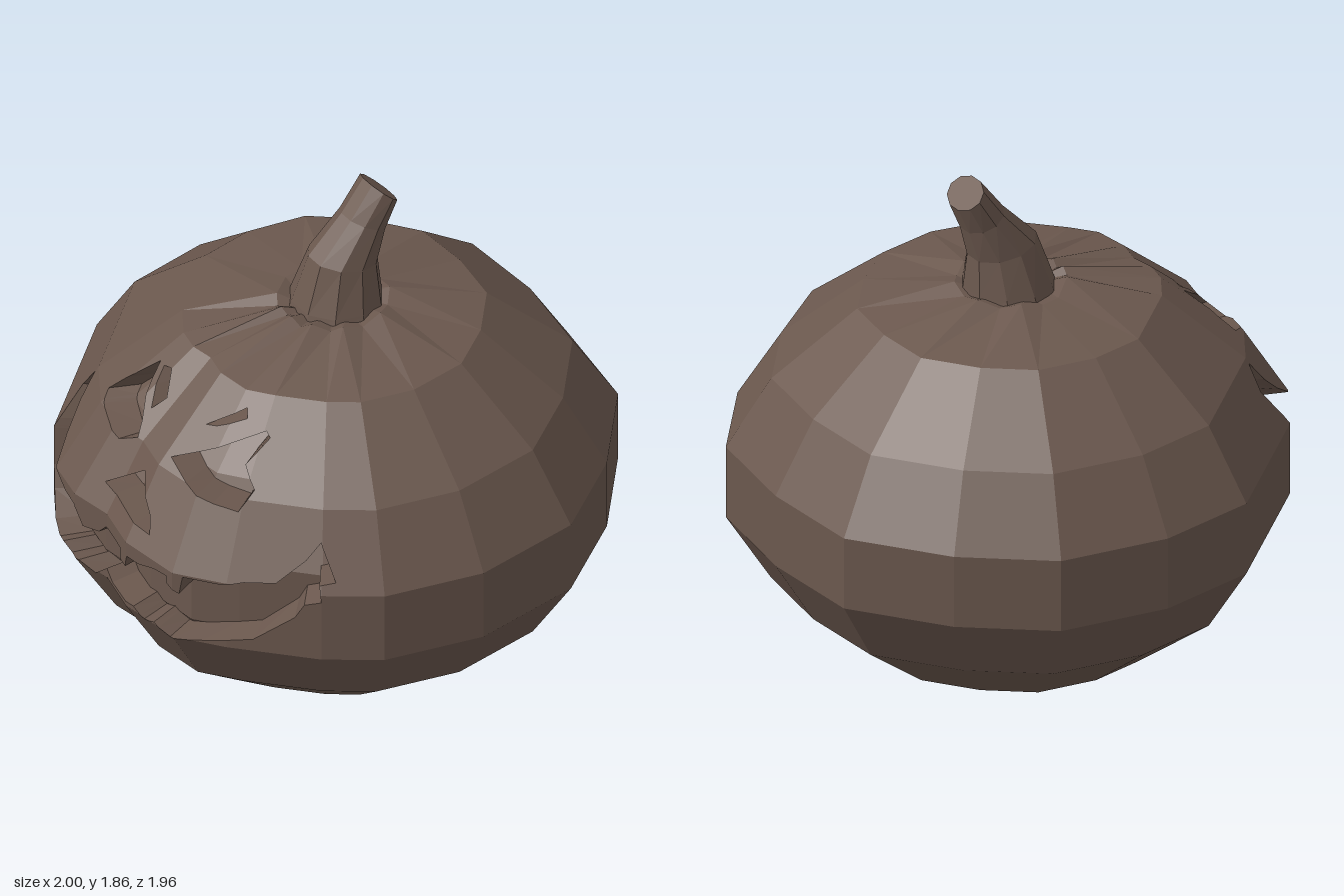
import * as THREE from 'three';

// Outline of the body at its widest: front columns left to right, then round the back [x, z]
const FRONT = [[-.95, .34], [-.56, .8], [-.36, .93], [-.2, .965], [-.04, .94], [.13, .98], [.37, .95], [.53, .83], [.78, .6], [.91, .42]];
const BACK = [[1, .06], [.95, -.35], [.73, -.66], [.43, -.92], [.04, -.98], [-.35, -.96], [-.68, -.72], [-.92, -.43], [-1, -.03]];
// Profile rings [scale, y]
const RINGS = [[.54, .06], [.84, .3], [1, .56], [1, .84], [.84, 1.1], [.54, 1.35]];

// Carved openings, counter-clockwise as seen from the front [x, y]
const CUTS = {
  mouth: [[-.48, 1.08], [-.54, .99], [-.555, .87], [-.54, .69], [-.5, .62], [-.42, .56], [-.35, .54], [-.3, .56], [-.26, .53],
    [-.18, .56], [-.115, .53], [-.04, .6], [.01, .575], [.17, .58], [.22, .55], [.275, .57], [.345, .54], [.46, .57], [.6, .61],
    [.71, .73], [.735, .79], [.78, .81], [.76, .87], [.79, .88], [.7, 1], [.69, .94], [.65, .86], [.57, .85], [.515, .83],
    [.4, .83], [.39, .755], [.34, .78], [.34, .81], [.275, .805], [.195, .78], [.135, .78], [.125, .73], [.085, .73], [.085, .78],
    [-.045, .78], [-.08, .74], [-.16, .72], [-.205, .79], [-.285, .795], [-.365, .835], [-.43, .91], [-.47, .99]],
  rightEye: [[-.195, 1.27], [-.28, 1.18], [-.325, 1.125], [-.285, 1.105], [-.13, 1.065], [-.06, 1.1], [-.09, 1.14], [-.175, 1.235]],
  rightBrow: [[-.165, 1.27], [-.09, 1.175], [-.065, 1.215], [-.125, 1.28]],
  leftEye: [[.345, 1.265], [.22, 1.18], [.13, 1.13], [.37, 1.07], [.45, 1.06], [.45, 1.125], [.37, 1.18], [.37, 1.25]],
  leftBrow: [[.16, 1.235], [.2, 1.245], [.27, 1.285], [.245, 1.31]],
  nose: [[.05, 1.045], [-.105, .925], [-.045, .91], [.21, .9], [.17, .955]],
};
const DEPTH = .12;

// Piecewise-linear lookup of column b against column a
function lookup(table, a, b, v) {
  let i = 0;
  while (i < table.length - 2 && v > table[i + 1][a]) i++;
  const p = table[i], q = table[i + 1];
  return p[b] + (q[b] - p[b]) * (v - p[a]) / (q[a] - p[a]);
}
const scaleAt = y => lookup(RINGS, 1, 0, y);

// Places a flattened front point on the body, or sunk below it
function place([u, y], depth = 0) {
  const s = scaleAt(y) - depth;
  return [u * s, y, lookup(FRONT, 0, 1, u) * s];
}

// Keeps the part of a convex polygon where sign * (p[axis] - at) >= 0
function clip(poly, axis, at, sign) {
  const out = [];
  poly.forEach((p, i) => {
    const q = poly[(i + 1) % poly.length];
    const dp = sign * (p[axis] - at), dq = sign * (q[axis] - at);
    if (dp >= 0) out.push(p);
    if (dp * dq < 0) {
      const t = dp / (dp - dq);
      out.push([p[0] + (q[0] - p[0]) * t, p[1] + (q[1] - p[1]) * t]);
    }
  });
  return out;
}

function addPoly(out, pts) {
  for (let i = 1; i < pts.length - 1; i++) out.push(...pts[0], ...pts[i], ...pts[i + 1]);
}

// Fills a flat shape, splits it along the facet grid and wraps it on the body
function addPatch(out, contour, holes, depth) {
  const vec = list => list.map(p => new THREE.Vector2(...p));
  const all = [contour, ...holes].flat();
  for (const face of THREE.ShapeUtils.triangulateShape(vec(contour), holes.map(vec))) {
    let tri = face.map(i => all[i]);
    if (THREE.ShapeUtils.area(vec(tri)) < 0) tri = tri.reverse();
    for (let c = 0; c < FRONT.length - 1; c++) {
      for (let r = 0; r < RINGS.length - 1; r++) {
        let cell = clip(tri, 0, FRONT[c][0], 1);
        cell = clip(cell, 0, FRONT[c + 1][0], -1);
        cell = clip(cell, 1, RINGS[r][1], 1);
        cell = clip(cell, 1, RINGS[r + 1][1], -1);
        if (cell.length > 2) addPoly(out, cell.map(p => place(p, depth)));
      }
    }
  }
}

// Side walls of an opening, split where they cross a facet edge
function addWalls(out, contour) {
  contour.forEach((a, i) => {
    const b = contour[(i + 1) % contour.length];
    const stops = [0, 1];
    const cross = (axis, at) => {
      const t = (at - a[axis]) / (b[axis] - a[axis]);
      if (t > 0 && t < 1) stops.push(t);
    };
    FRONT.forEach(f => cross(0, f[0]));
    RINGS.forEach(r => cross(1, r[1]));
    stops.sort((p, q) => p - q);
    const at = t => [a[0] + (b[0] - a[0]) * t, a[1] + (b[1] - a[1]) * t];
    for (let k = 0; k < stops.length - 1; k++) {
      const p = at(stops[k]), q = at(stops[k + 1]);
      addPoly(out, [place(p), place(q), place(q, DEPTH), place(p, DEPTH)]);
    }
  });
}

// Joins two closed rings of points, lower to upper
function addBand(out, lower, upper, skip = () => false) {
  const n = lower.length;
  for (let i = 0; i < n; i++) {
    const j = (i + 1) % n;
    if (!skip(i)) addPoly(out, [lower[i], lower[j], upper[j], upper[i]]);
  }
}

// Faceted mesh from loose triangles
function facetMesh(name, positions, material) {
  const g = new THREE.BufferGeometry();
  g.setAttribute('position', new THREE.Float32BufferAttribute(positions, 3));
  g.computeVertexNormals();
  const mesh = new THREE.Mesh(g, material);
  mesh.name = name;
  return mesh;
}

export function createModel() {
  const group = new THREE.Group();
  group.name = 'carvedPumpkin';
  const brown = new THREE.MeshStandardMaterial({ color: 0x6b584e });
  brown.name = 'dull brown';

  // Shell: back columns, ribbed crown and scalloped underside
  const columns = [...FRONT, ...BACK];
  const ring = (s, y, dip = 0) => columns.map(([x, z], i) => [x * s, y - (i % 2 ? 0 : dip), z * s]);
  const body = [];
  const rings = RINGS.map(([s, y]) => ring(s, y));
  for (let r = 0; r < rings.length - 1; r++) addBand(body, rings[r], rings[r + 1], i => i < FRONT.length - 1);
  const crown = ring(.2, 1.425, .02);
  addBand(body, rings[rings.length - 1], crown);
  addBand(body, crown, ring(.1, 1.39));
  const underside = ring(.3, .03, -.02);
  addBand(body, underside, rings[0]);
  addBand(body, ring(0, 0), underside);

  // Front of the shell with the face cut through it
  const flat = Object.values(CUTS).map(cut => cut.map(([x, y]) => [x / scaleAt(y), y]));
  const [x0, x1] = [FRONT[0][0], FRONT[FRONT.length - 1][0]];
  const [y0, y1] = [RINGS[0][1], RINGS[RINGS.length - 1][1]];
  addPatch(body, [[x0, y0], [x1, y0], [x1, y1], [x0, y1]], flat, 0);
  group.add(facetMesh('body', body, brown));

  // Recess behind each opening
  Object.keys(CUTS).forEach((name, i) => {
    const recess = [];
    addWalls(recess, flat[i]);
    addPatch(recess, flat[i], [], DEPTH);
    group.add(facetMesh(name, recess, brown));
  });

  // Stem, leaning back, with a slanted cut: [centre x, half width, front z, front y, back z, back y]
  const sections = [
    [0, .18, .165, 1.37, -.185, 1.37], [0, .165, .15, 1.42, -.18, 1.42], [0, .12, .085, 1.6, -.17, 1.55],
    [.005, .092, -.05, 1.74, -.2, 1.67], [.01, .088, -.14, 1.86, -.24, 1.77]];
  const stemRings = sections.map(([cx, w, fz, fy, bz, by]) => Array.from({ length: 10 }, (_, i) => {
    const a = (i + .5) / 10 * Math.PI * 2, t = (1 - Math.cos(a)) / 2;
    return [cx + w * Math.sin(a), fy + (by - fy) * t, fz + (bz - fz) * t];
  }));
  const stem = [];
  for (let i = 0; i < stemRings.length - 1; i++) addBand(stem, stemRings[i], stemRings[i + 1]);
  addPoly(stem, stemRings[stemRings.length - 1]);
  group.add(facetMesh('stem', stem, brown));
  return group;
}
